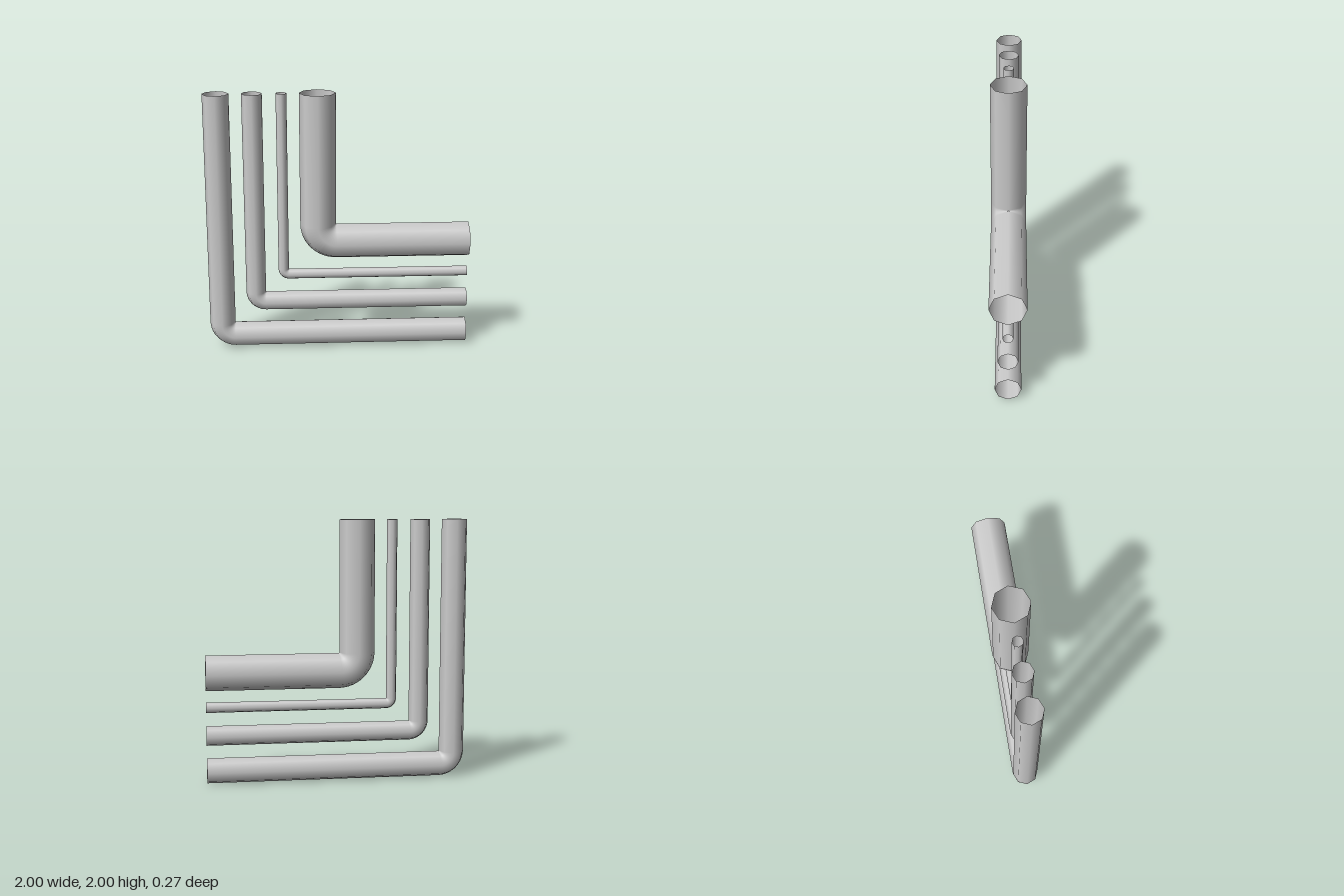
import * as THREE from 'three';

const SIDES = 8;
const BEND_STEPS = 12;

// Open octagonal pipe: down from y = 2, round a quarter bend, then out to x = 1.
function elbowPipe(cx, cy, r) {
  const bend = r * 1.02;
  const rings = [{ x: cx, y: 2, t: 0 }];
  for (let i = 0; i <= BEND_STEPS; i++) {
    const t = (i / BEND_STEPS) * Math.PI / 2;
    rings.push({ x: cx + bend - bend * Math.cos(t), y: cy + bend - bend * Math.sin(t), t });
  }
  rings.push({ x: 1, y: cy, t: Math.PI / 2 });

  const position = [], normal = [], index = [];
  rings.forEach(({ x, y, t }, i) => {
    for (let j = 0; j < SIDES; j++) {
      const a = (j / SIDES) * Math.PI * 2;
      const n = [-Math.cos(t) * Math.cos(a), -Math.sin(t) * Math.cos(a), Math.sin(a)];
      normal.push(...n);
      position.push(x + r * n[0], y + r * n[1], r * n[2]);
      if (i === rings.length - 1) continue;
      const p = i * SIDES + j, q = i * SIDES + (j + 1) % SIDES;
      index.push(p, p + SIDES, q, q, p + SIDES, q + SIDES);
    }
  });

  const geometry = new THREE.BufferGeometry();
  geometry.setAttribute('position', new THREE.Float32BufferAttribute(position, 3));
  geometry.setAttribute('normal', new THREE.Float32BufferAttribute(normal, 3));
  geometry.setIndex(index);
  return geometry;
}

export function createModel() {
  const group = new THREE.Group();
  group.name = 'pipes';
  const grey = new THREE.MeshStandardMaterial({ color: 0xcccccc, side: THREE.DoubleSide });
  grey.name = 'light grey';

  // name, centre x of the upright, centre y of the run, radius
  const pipes = [
    ['outerPipe', -0.902, 0.098, 0.098],
    ['mediumPipe', -0.637, 0.37, 0.076],
    ['thinPipe', -0.421, 0.588, 0.04],
    ['thickPipe', -0.154, 0.852, 0.136],
  ];
  for (const [name, x, y, r] of pipes) {
    const mesh = new THREE.Mesh(elbowPipe(x, y, r), grey);
    mesh.name = name;
    group.add(mesh);
  }
  return group;
}
